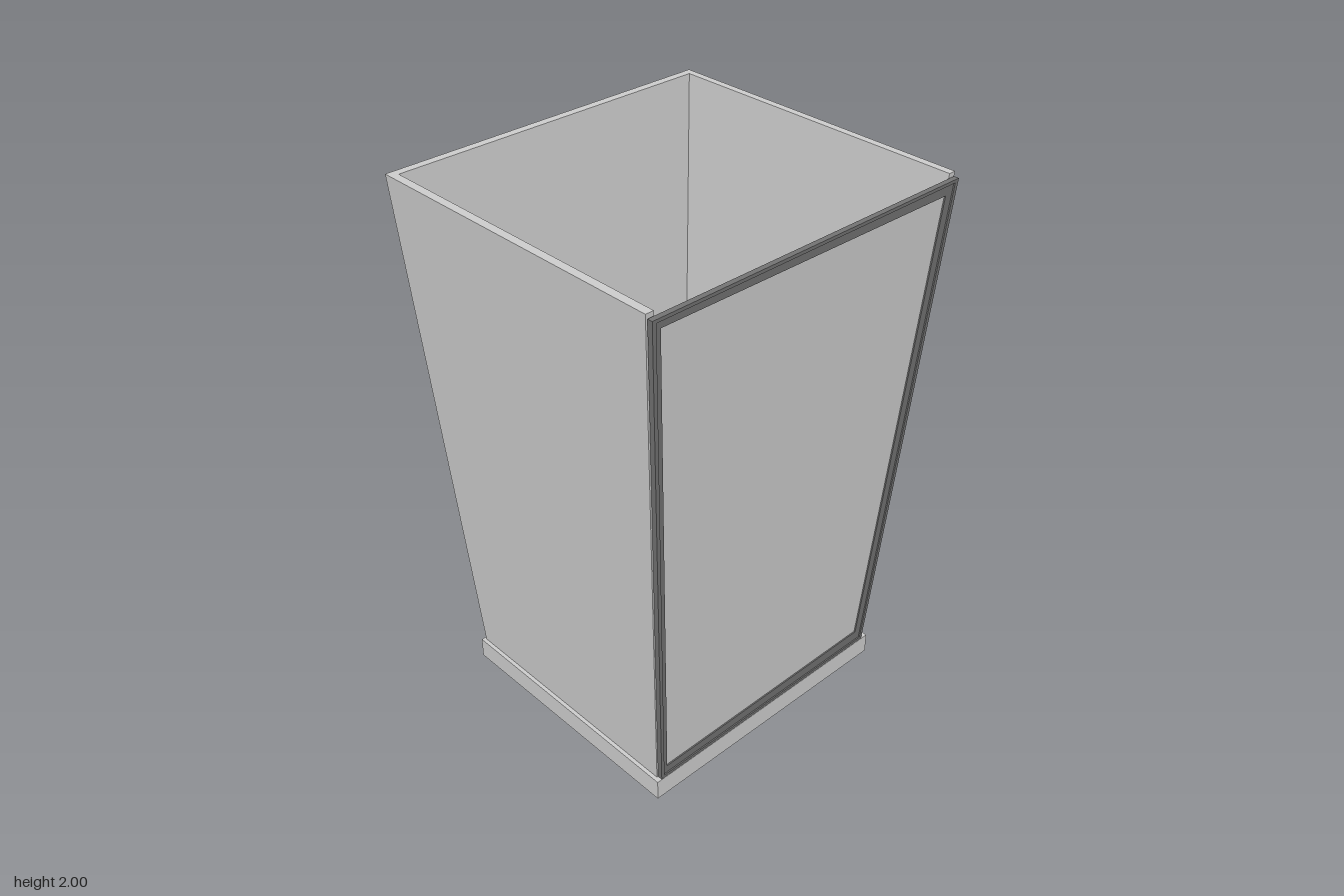
import * as THREE from 'three';

const grey = new THREE.MeshStandardMaterial({ color: 0xcccccc, flatShading: true });
const frameMat = new THREE.MeshStandardMaterial({ color: 0x727272, flatShading: true });
const black = new THREE.MeshStandardMaterial({ color: 0x2a2a2a });
const smoothGrey = new THREE.MeshStandardMaterial({ color: 0xcccccc });

// Skin of stacked four-corner loops (corners run counter-clockwise from above), capped at both ends
function loft(loops) {
  const pos = [];
  const quad = (a, b, c, d) => pos.push(...a, ...b, ...c, ...a, ...c, ...d);
  for (let i = 0; i + 1 < loops.length; i++) {
    const lo = loops[i], hi = loops[i + 1];
    for (let k = 0; k < 4; k++) {
      const n = (k + 1) % 4;
      quad(lo[k], lo[n], hi[n], hi[k]);
    }
  }
  const first = loops[0], last = loops[loops.length - 1];
  quad(...last);
  quad(first[3], first[2], first[1], first[0]);
  const g = new THREE.BufferGeometry();
  g.setAttribute('position', new THREE.Float32BufferAttribute(pos, 3));
  g.computeVertexNormals();
  return g;
}

const rect = (x0, x1, z0, z1, y) => [[x0, y, z1], [x1, y, z1], [x1, y, z0], [x0, y, z0]];

export function createModel() {
  const group = new THREE.Group();
  const add = (name, geometry, material, parent = group) => {
    const mesh = new THREE.Mesh(geometry, material);
    mesh.name = name;
    parent.add(mesh);
    return mesh;
  };

  // Tray with a bevelled recess
  add('tray', loft([
    rect(-0.54, 0.55, -0.495, 0.495, 0),
    rect(-0.54, 0.55, -0.495, 0.495, 0.08),
    rect(-0.46, 0.475, -0.43, 0.42, 0.08),
    rect(-0.44, 0.455, -0.41, 0.4, 0.05),
  ]), grey);

  // Drain ring and cover on the tray floor
  const drain = new THREE.Group();
  drain.name = 'drain';
  drain.position.set(-0.335, 0.05, -0.033);
  group.add(drain);
  add('drainRing', new THREE.TorusGeometry(0.041, 0.005, 6, 16).rotateX(Math.PI / 2), black, drain);
  add('drainCover', new THREE.CylinderGeometry(0.04, 0.04, 0.006, 16), grey, drain);

  // Three walls flaring outward towards the top
  add('leftWall', loft([
    rect(0.5, 0.527, -0.485, 0.475, 0.075), rect(0.623, 0.65, -0.61, 0.583, 2)]), grey);
  add('rightWall', loft([
    rect(-0.525, -0.495, -0.485, 0.475, 0.075), rect(-0.65, -0.62, -0.61, 0.583, 2)]), grey);
  add('backWall', loft([
    rect(-0.495, 0.5, -0.485, -0.463, 0.075), rect(-0.62, 0.623, -0.61, -0.58, 2)]), grey);

  // Front door: nested frames and panel, all leaning with the front plane
  const lean = (y) => 0.475 + (y - 0.08) / 1.905 * 0.11;
  const outer = [[-0.52, 0.08], [0.52, 0.08], [0.645, 1.985], [-0.645, 1.985]];
  const middle = [[-0.508, 0.093], [0.508, 0.093], [0.63, 1.973], [-0.63, 1.973]];
  const inner = [[-0.492, 0.125], [0.482, 0.135], [0.597, 1.937], [-0.608, 1.947]];
  const slab = (edge, hole, offset, depth) => {
    const points = (list) => list.map(([x, y]) => new THREE.Vector2(x, y));
    const shape = new THREE.Shape(points(edge));
    if (hole) shape.holes.push(new THREE.Path(points(hole)));
    const g = new THREE.ExtrudeGeometry(shape, { depth, bevelEnabled: false });
    const p = g.attributes.position;
    for (let i = 0; i < p.count; i++) p.setZ(i, p.getZ(i) + offset + lean(p.getY(i)));
    g.computeVertexNormals();
    return g;
  };
  const door = new THREE.Group();
  door.name = 'door';
  group.add(door);
  add('outerFrame', slab(outer, middle, 0, 0.019), frameMat, door);
  add('innerFrame', slab(middle, inner, 0, 0.014), frameMat, door);
  add('doorPanel', slab(inner, null, 0.004, 0.005), grey, door);

  // Triangular shelf in the back left corner
  const tri = new THREE.Shape([[0.28, 0.52], [0.56, 0.21], [0.56, 0.52]].map(([x, y]) => new THREE.Vector2(x, y)));
  const shelf = add('cornerShelf',
    new THREE.ExtrudeGeometry(tri, { depth: 0.02, bevelEnabled: false }).rotateX(-Math.PI / 2), grey);
  shelf.position.y = 0.99;

  // Shower: wall flange, bent arm and flared head
  const shower = new THREE.Group();
  shower.name = 'shower';
  shower.position.set(-0.605, 1.7, -0.015);
  group.add(shower);
  const flange = [[0, -0.01], [0.047, -0.01], [0.047, 0.006], [0.028, 0.016], [0, 0.016]];
  add('flange', new THREE.LatheGeometry(flange.map(([r, y]) => new THREE.Vector2(r, y)), 20)
    .rotateZ(-Math.PI / 2), black, shower);
  const arm = new THREE.CatmullRomCurve3([
    [0, 0], [0.06, 0.005], [0.12, -0.02], [0.17, -0.07], [0.215, -0.12],
  ].map(([x, y]) => new THREE.Vector3(x, y, 0)));
  add('arm', new THREE.TubeGeometry(arm, 24, 0.026, 14), black, shower);
  const headProfile = [[0, -0.05], [0.045, -0.05], [0.047, -0.035], [0.04, -0.005], [0.028, 0.02], [0, 0.022]];
  const head = add('showerHead',
    new THREE.LatheGeometry(headProfile.map(([r, y]) => new THREE.Vector2(r, y)), 20), black, shower);
  head.position.set(0.222, -0.128, 0);
  head.rotation.z = 0.55;

  // Pair of round taps on the same wall
  const tap = [[0, -0.025], [0.025, -0.025], [0.025, 0.01], [0.021, 0.02], [0.012, 0.025], [0, 0.025]];
  for (const z of [-0.13, 0.15]) {
    const knob = add('tap', new THREE.LatheGeometry(tap.map(([r, y]) => new THREE.Vector2(r, y)), 16)
      .rotateZ(-Math.PI / 2), smoothGrey);
    knob.position.set(-0.53, 0.92, z);
  }

  return group;
}
